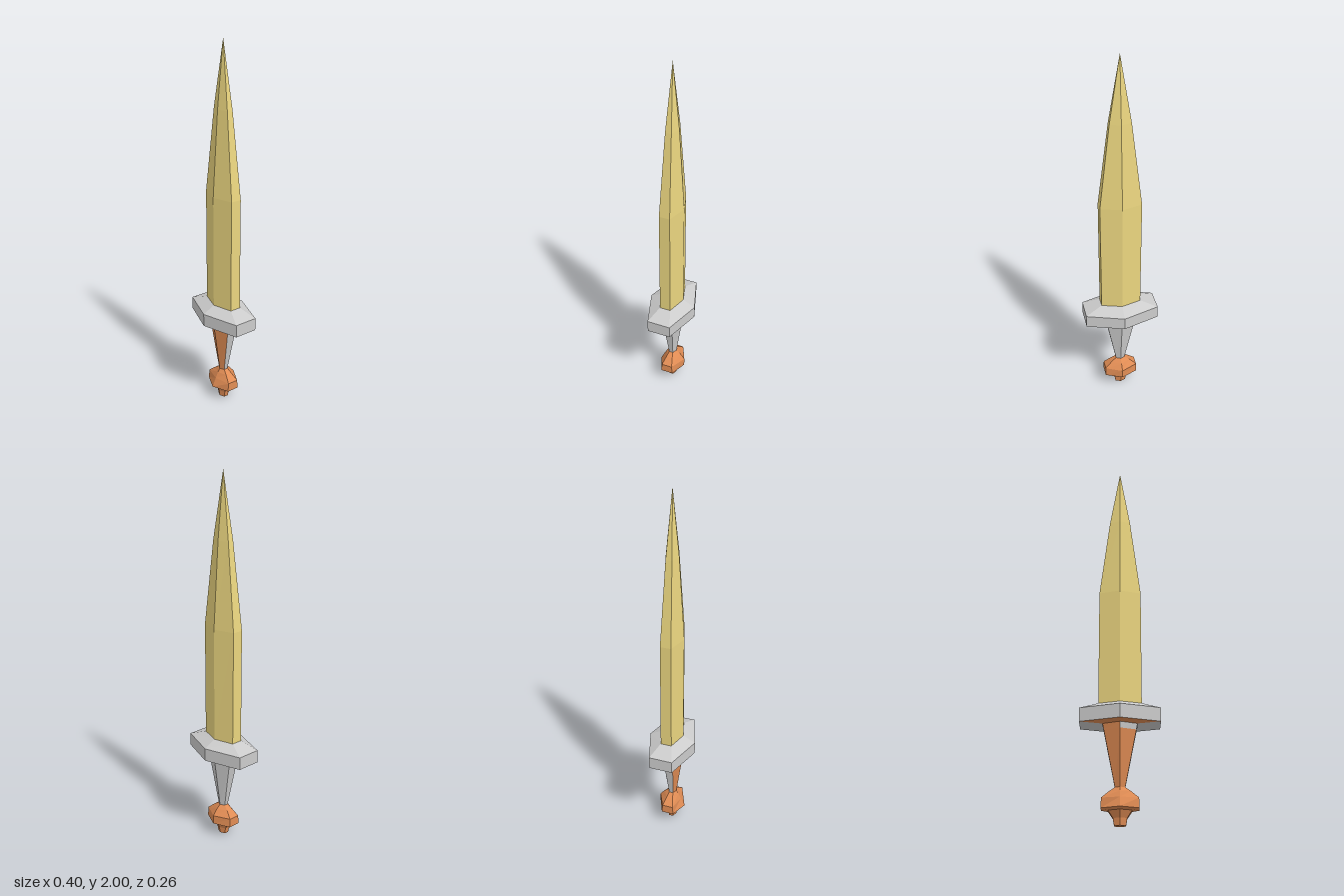
import * as THREE from 'three';

const material = (color) => new THREE.MeshStandardMaterial({ color, flatShading: true });
const gold = material(0xead57f);
const steel = material(0xcccccc);
const copper = material(0xe08c54);
const ALL = [0, 1, 2, 3, 4, 5];

// Six-sided section: half width, half depth of the narrow side, front and back ridge depth
const hex = (y, w, s, front, back = front) => [
  [w, y, s], [0, y, front], [-w, y, s], [-w, y, -s], [0, y, -back], [w, y, -s],
].map((p) => new THREE.Vector3(...p));

// Strips between successive sections, lowest first; strips 0 and 1 are the front faces
function loft(name, mat, sections, strips = ALL, capBottom = false) {
  const pos = [];
  const tri = (a, b, c) => {
    const area = b.clone().sub(a).cross(c.clone().sub(a)).length();
    if (area > 1e-9) pos.push(...a, ...b, ...c);
  };
  for (let i = 0; i + 1 < sections.length; i++) {
    for (const j of strips) {
      const k = (j + 1) % 6;
      const [lo, hi] = [sections[i], sections[i + 1]];
      tri(lo[j], hi[j], lo[k]);
      tri(lo[k], hi[j], hi[k]);
    }
  }
  if (capBottom) {
    for (let j = 1; j < 5; j++) tri(sections[0][0], sections[0][j], sections[0][j + 1]);
  }
  const geo = new THREE.BufferGeometry();
  geo.setAttribute('position', new THREE.Float32BufferAttribute(pos, 3));
  geo.computeVertexNormals();
  const mesh = new THREE.Mesh(geo, mat);
  mesh.name = name;
  return mesh;
}

export function createModel() {
  const sword = new THREE.Group();
  sword.name = 'shortSword';

  // Blade with a ridge on both faces and a two-step taper
  const bladeBase = hex(0.595, 0.108, 0.03, 0.063);
  sword.add(loft('blade', gold, [
    bladeBase,
    hex(1.21, 0.109, 0.029, 0.063),
    hex(1.66, 0.055, 0.016, 0.034),
    hex(2, 0, 0, 0),
  ]));

  // Guard, sloping up to the blade
  const guardBottom = hex(0.49, 0.2, 0.064, 0.13);
  sword.add(loft('guard', steel, [guardBottom, hex(0.56, 0.2, 0.064, 0.13), bladeBase]));

  // Grip with copper front faces and steel sides and back
  const gripTop = hex(0.49, 0.086, 0.03, 0.066);
  const gripCollar = hex(0.46, 0.08, 0.028, 0.062);
  const gripBottom = hex(0.18, 0.025, 0.011, 0.024);
  const grip = new THREE.Group();
  grip.name = 'grip';
  grip.add(
    loft('gripFrontLeft', copper, [gripBottom, gripCollar], [0]),
    loft('gripCollar', steel, [gripCollar, gripTop], [0]),
    loft('gripFrontRight', copper, [gripBottom, gripCollar, gripTop], [1]),
    loft('gripBack', steel, [gripBottom, gripCollar, gripTop], [2, 3, 4, 5]),
  );
  sword.add(grip);

  // Underside of the guard around the grip
  sword.add(
    loft('guardUndersideFront', copper, [gripTop, guardBottom], [0, 1]),
    loft('guardUndersideBack', steel, [gripTop, guardBottom], [2, 3, 4, 5]),
  );

  // Pommel, with its front leaning back towards the grip
  sword.add(loft('pommel', copper, [
    hex(0, 0.028, 0.012, 0.024),
    hex(0.035, 0.034, 0.014, 0.028),
    hex(0.07, 0.057, 0.022, 0.046),
    hex(0.078, 0.091, 0.034, 0.074),
    hex(0.127, 0.09, 0.03, 0.052, 0.074),
    hex(0.16, 0.052, 0.018, 0.036, 0.048),
    gripBottom,
  ], ALL, true));

  return sword;
}
